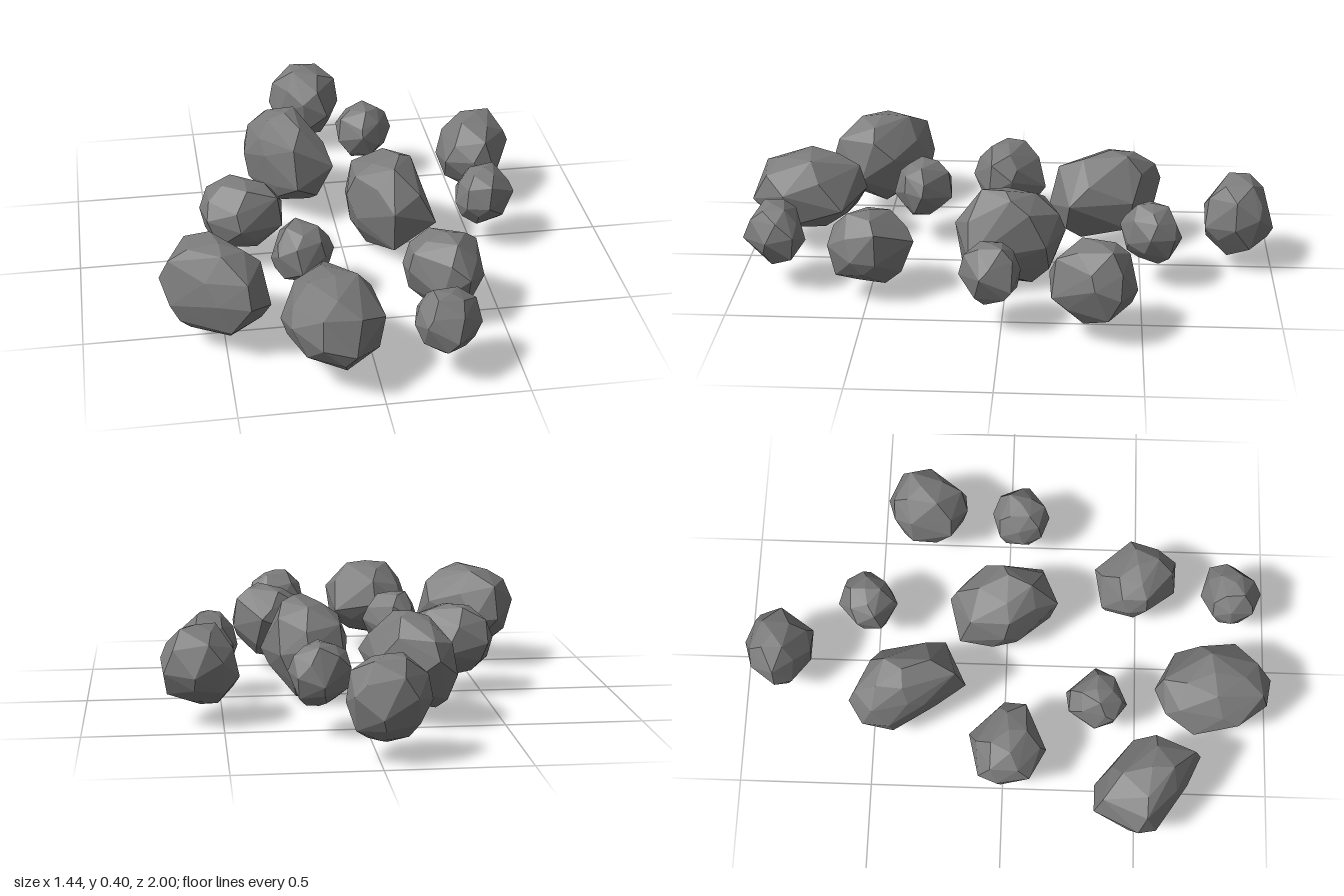
import * as THREE from 'three';
import { ConvexGeometry } from 'three/addons/geometries/ConvexGeometry.js';

// Each rock: bottom, top, peak x z, foot x z, and its widest outline as x, z pairs
const ROCKS = {
  backRock: [0.05, 0.36, [-.03, -.87], [-.03, -.84], [-.18, -.87, -.12, -.96, 0, -1, .09, -.94, .11, -.85, .05, -.74, -.05, -.74, -.15, -.81]],
  backPebble: [0.10, 0.33, [.17, -.54], [.17, -.54], [.06, -.57, .16, -.65, .25, -.62, .28, -.53, .22, -.45, .15, -.42, .06, -.48]],
  backRightBoulder: [0.04, 0.40, [-.17, -.38], [-.19, -.33], [-.33, -.43, -.32, -.53, -.25, -.58, -.15, -.55, -.04, -.47, 0, -.23, -.15, -.15, -.26, -.3]],
  backLeftRock: [0.06, 0.36, [.59, -.35], [.58, -.32], [.44, -.38, .5, -.45, .6, -.48, .71, -.42, .72, -.33, .64, -.18, .55, -.17, .45, -.23]],
  middleRightRock: [0.06, 0.34, [-.37, .02], [-.39, .02], [-.54, -.02, -.51, -.09, -.34, -.13, -.23, 0, -.24, .09, -.4, .16, -.52, .1]],
  centreBoulder: [0, 0.39, [.22, 0], [.16, -.03], [.02, -.01, .04, -.18, .18, -.22, .28, -.15, .34, .13, .17, .19, .05, .05]],
  leftPebble: [0.10, 0.33, [.54, .04], [.54, .04], [.43, .05, .45, -.04, .54, -.07, .64, -.04, .65, .07, .54, .15, .46, .12]],
  centrePebble: [0.10, 0.33, [-.2, .34], [-.2, .34], [-.31, .34, -.26, .24, -.17, .23, -.08, .34, -.12, .41, -.21, .46, -.29, .41]],
  frontRightBoulder: [0.04, 0.40, [-.51, .54], [-.53, .53], [-.72, .5, -.63, .34, -.53, .34, -.37, .48, -.34, .61, -.42, .73, -.53, .68, -.69, .57]],
  frontLeftRock: [0.05, 0.34, [.3, .49], [.29, .46], [.15, .46, .19, .36, .32, .33, .43, .46, .43, .55, .36, .64, .26, .64, .16, .53]],
  frontBoulder: [0.07, 0.38, [-.14, .77], [-.14, .8], [-.32, .71, -.26, .6, -.16, .56, 0, .64, .02, .86, -.1, 1, -.21, .98, -.3, .87]],
  frontPebble: [0.10, 0.33, [.24, .86], [.24, .86], [.12, .85, .14, .78, .24, .74, .34, .77, .35, .87, .25, .97, .15, .93]],
};

// Chipped stone: convex hull of rings shrinking from the outline to a peak and a foot
function rockGeometry(bottom, top, peak, foot, outline, seed) {
  const n = outline.length / 2;
  const points = [];
  const corner = (i) => new THREE.Vector2(outline[2 * (i % n)], outline[2 * (i % n) + 1]);
  const add = (x, z, level) =>
    points.push(new THREE.Vector3(x, bottom + (top - bottom) * level, z));

  // A ring of points spaced around the outline, drawn in towards a centre
  const ring = (count, [cx, cz], scale, level, wobble, phase) => {
    for (let k = 0; k < count; k++) {
      const t = k * n / count + phase;
      const p = corner(Math.floor(t)).lerp(corner(Math.floor(t) + 1), t % 1);
      const shift = wobble * Math.sin(k * 2.4 + seed * 1.7 + phase);
      add(cx + (p.x - cx) * scale, cz + (p.y - cz) * scale, level + shift);
    }
  };
  const turn = (seed * 0.37) % 1;
  ring(n, peak, 1, 0.49, 0.12, 0);               // girdle
  ring(6, peak, 0.89, 0.77, 0.05, turn);         // shoulder
  ring(6, foot, 0.89, 0.23, 0.05, turn + 0.6);   // underside
  ring(4, peak, 0.53, 0.95, 0.03, turn + 0.8);   // crown
  ring(4, foot, 0.53, 0.07, 0.03, turn + 0.3);   // sole
  add(...peak, 1);
  add(...foot, 0);
  return new ConvexGeometry(points);
}

export function createModel() {
  const group = new THREE.Group();
  group.name = 'rocks';
  const stone = new THREE.MeshStandardMaterial({ color: 0x7c7c7c });
  stone.name = 'grey stone';
  Object.entries(ROCKS).forEach(([name, spec], seed) => {
    const rock = new THREE.Mesh(rockGeometry(...spec, seed), stone);
    rock.name = name;
    group.add(rock);
  });
  return group;
}
